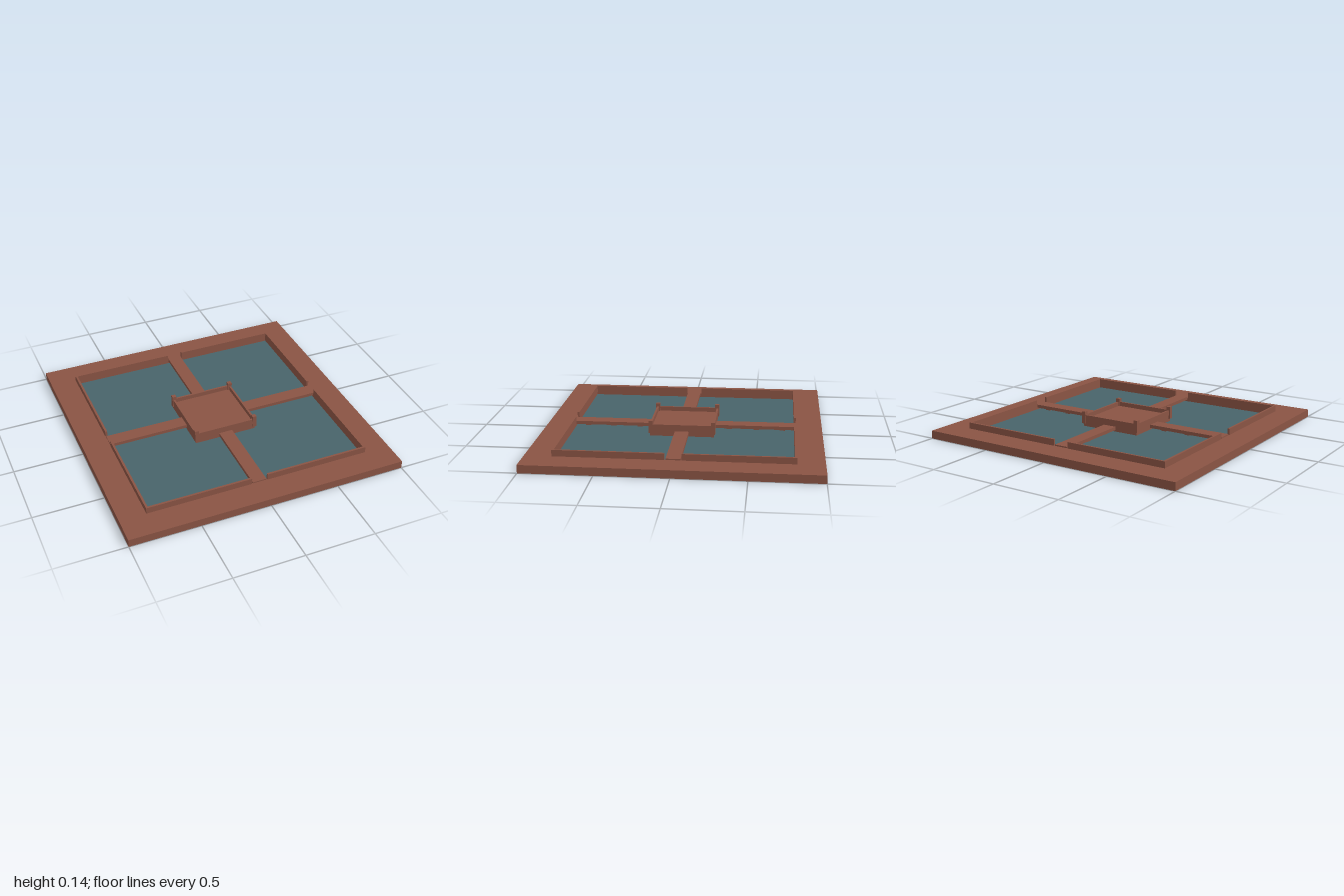
import * as THREE from 'three';

const brown = new THREE.MeshStandardMaterial({ color: 0x8a5444 });
const teal = new THREE.MeshStandardMaterial({ color: 0x48646a });

// Box given by its centre in plan, its size in plan and its bottom and top heights
function addBox(parent, name, x, z, w, d, y0, y1, material = brown) {
  const mesh = new THREE.Mesh(new THREE.BoxGeometry(w, y1 - y0, d), material);
  mesh.position.set(x, (y0 + y1) / 2, z);
  mesh.name = name;
  parent.add(mesh);
}

export function createModel() {
  const group = new THREE.Group();
  group.name = 'waterGarden';

  // Basin floor and water, with a narrow seam around the floor
  addBox(group, 'basinFloor', 0, 0, 1.585, 1.585, 0, 0.02);
  addBox(group, 'water', 0, 0, 1.6, 1.6, 0.021, 0.03, teal);

  // Surrounding paving
  for (const s of [-1, 1]) {
    addBox(group, 'pavingLong', 0, s * 0.9, 2, 0.2, 0, 0.057);
    addBox(group, 'pavingShort', s * 0.9, 0, 0.2, 1.6, 0, 0.057);
  }

  // Each side: two lengths of low wall, a walkway and its piers
  for (let i = 0; i < 4; i++) {
    const side = new THREE.Group();
    side.name = 'gardenSide';
    side.rotation.y = i * Math.PI / 2;
    for (const s of [-1, 1]) {
      addBox(side, 'lowWall', s * 0.435, 0.805, 0.755, 0.015, 0.05, 0.102);
    }
    addBox(side, 'walkway', 0, 0.51, 0.1, 0.6, 0.042, 0.066);
    for (const r of [0.33, 0.525, 0.715]) {
      addBox(side, 'walkwayPier', 0, r, 0.06, 0.04, 0, 0.043);
    }
    // Parapet of the central platform
    addBox(side, 'platformParapet', 0, 0.226, 0.44, 0.014, 0.075, 0.114);
    group.add(side);
  }

  // Central platform with corner posts
  addBox(group, 'platform', 0, 0, 0.46, 0.46, 0, 0.082);
  for (const sx of [-1, 1]) {
    for (const sz of [-1, 1]) {
      addBox(group, 'cornerPost', sx * 0.224, sz * 0.224, 0.03, 0.03, 0.05, 0.14);
    }
  }
  return group;
}
